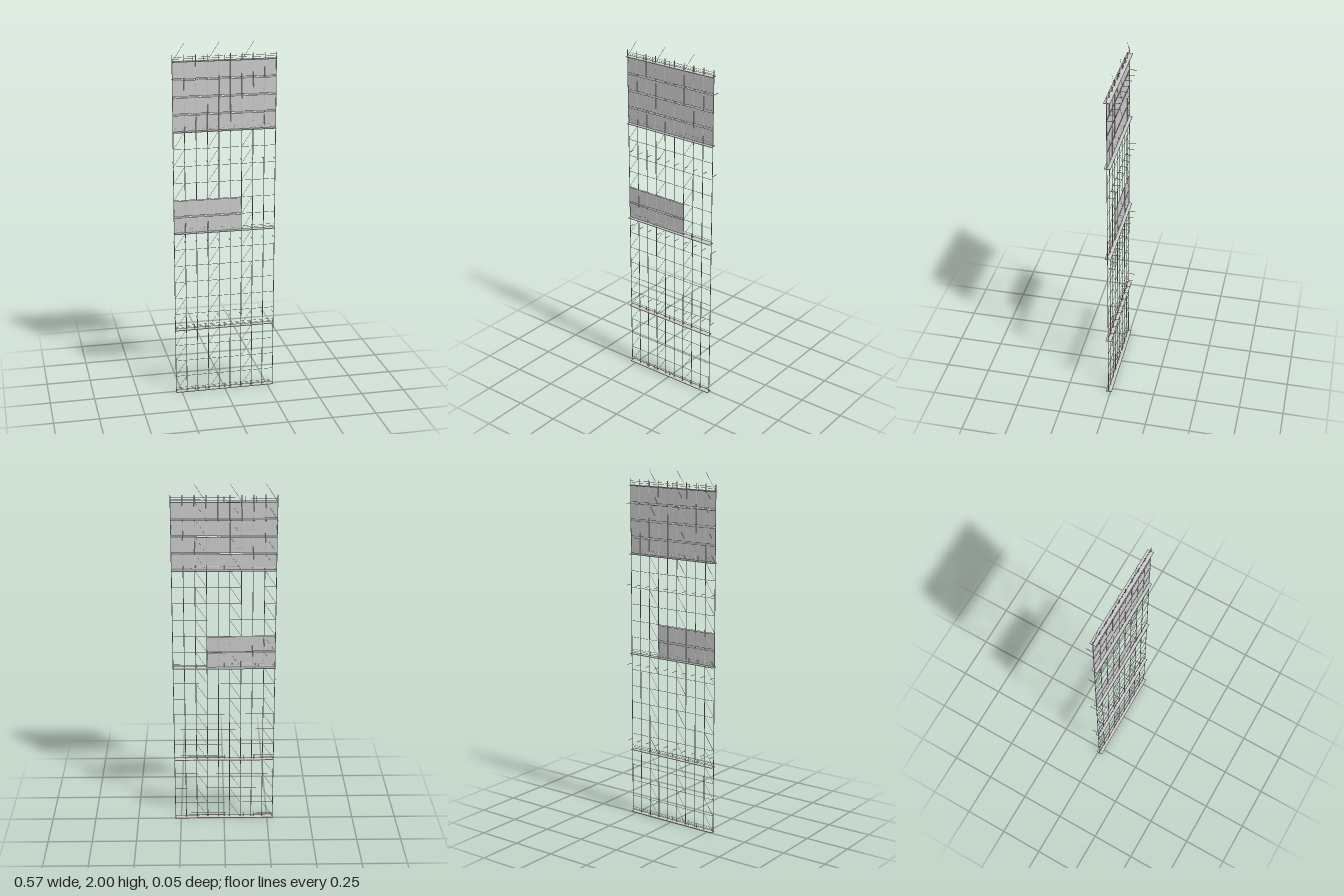
import * as THREE from 'three';

const HALF = 0.283, BAYS = 9, BAY = HALF * 2 / BAYS;   // bay grid
const Y0 = 0.004, LIFT = 0.095, ROWS = 20;             // ledger grid
const Z = 0.0105;                                      // plane of the frame
const DECKS = [0, 4, 10, 16, 20];                      // ledger rows that carry a deck

const colX = i => -HALF + i * BAY;
const rowY = k => Y0 + k * LIFT;

export function createModel() {
  const root = new THREE.Group();
  const mat = new THREE.MeshStandardMaterial({ color: 0xcccccc, flatShading: true });

  const group = name => {
    const g = new THREE.Group();
    g.name = name;
    root.add(g);
    return g;
  };

  // round bar between two points
  const bar = (parent, name, a, b, r) => {
    const from = new THREE.Vector3(...a), to = new THREE.Vector3(...b);
    const dir = to.clone().sub(from);
    const m = new THREE.Mesh(new THREE.CylinderGeometry(r, r, dir.length(), 8), mat);
    m.quaternion.setFromUnitVectors(new THREE.Vector3(0, 1, 0), dir.normalize());
    m.position.copy(from).add(to).multiplyScalar(0.5);
    m.name = name;
    parent.add(m);
  };

  const box = (parent, name, w, h, d, x, y, z) => {
    const m = new THREE.Mesh(new THREE.BoxGeometry(w, h, d), mat);
    m.position.set(x, y, z);
    m.name = name;
    parent.add(m);
  };

  // uprights
  const uprights = group('uprights');
  for (let i = 0; i <= BAYS; i++) {
    bar(uprights, 'upright', [colX(i), 0, Z], [colX(i), 1.94, Z], 0.0019);
  }

  // horizontal ledgers
  const ledgers = group('ledgers');
  for (let k = 0; k <= ROWS; k++) {
    bar(ledgers, 'ledger', [-HALF, rowY(k), Z], [HALF, rowY(k), Z], 0.0011);
  }

  // diagonal braces in every third bay, one per lift
  const braces = group('diagonalBraces');
  for (const i of [0, 3, 6]) {
    for (let k = 0; k <= ROWS; k++) {
      bar(braces, 'brace', [colX(i), rowY(k), Z - 0.0003],
        [colX(i + 1), rowY(k + 1), Z - 0.0003], 0.0008);
    }
  }

  // walkway decks with two low kick rails and short stub posts
  const decks = group('decks');
  for (const k of DECKS) {
    const y = rowY(k);
    box(decks, 'deck', HALF * 2, 0.003, 0.034, 0, y, Z - 0.001);
    for (const h of [0.014, 0.024]) {
      bar(decks, 'kickRail', [-HALF, y + h, Z], [HALF, y + h, Z], 0.0008);
    }
    for (const x of [-0.172, -0.112, 0, 0.093, 0.153]) {
      bar(decks, 'stubPost', [x, y, Z], [x, y + 0.028, Z], 0.0015);
    }
  }

  // wall anchors reaching back from each upright
  const anchors = group('wallAnchors');
  for (const y of [0.446, 0.896, 1.352, 1.807]) {
    for (let i = 0; i <= BAYS; i++) {
      bar(anchors, 'anchor', [colX(i), y, Z], [colX(i), y, -0.028], 0.0015);
    }
  }

  // infill boards: full width at the top, six bays wide at mid height
  const boards = group('infillBoards');
  const infill = (firstRow, rows, bays) => {
    for (let k = firstRow; k < firstRow + rows; k++) {
      const w = bays * BAY;
      box(boards, 'board', w, LIFT - 0.008, 0.001, -HALF + w / 2, rowY(k) + LIFT / 2, Z);
    }
  };
  infill(16, 4, BAYS);
  infill(10, 2, 6);

  return root;
}
